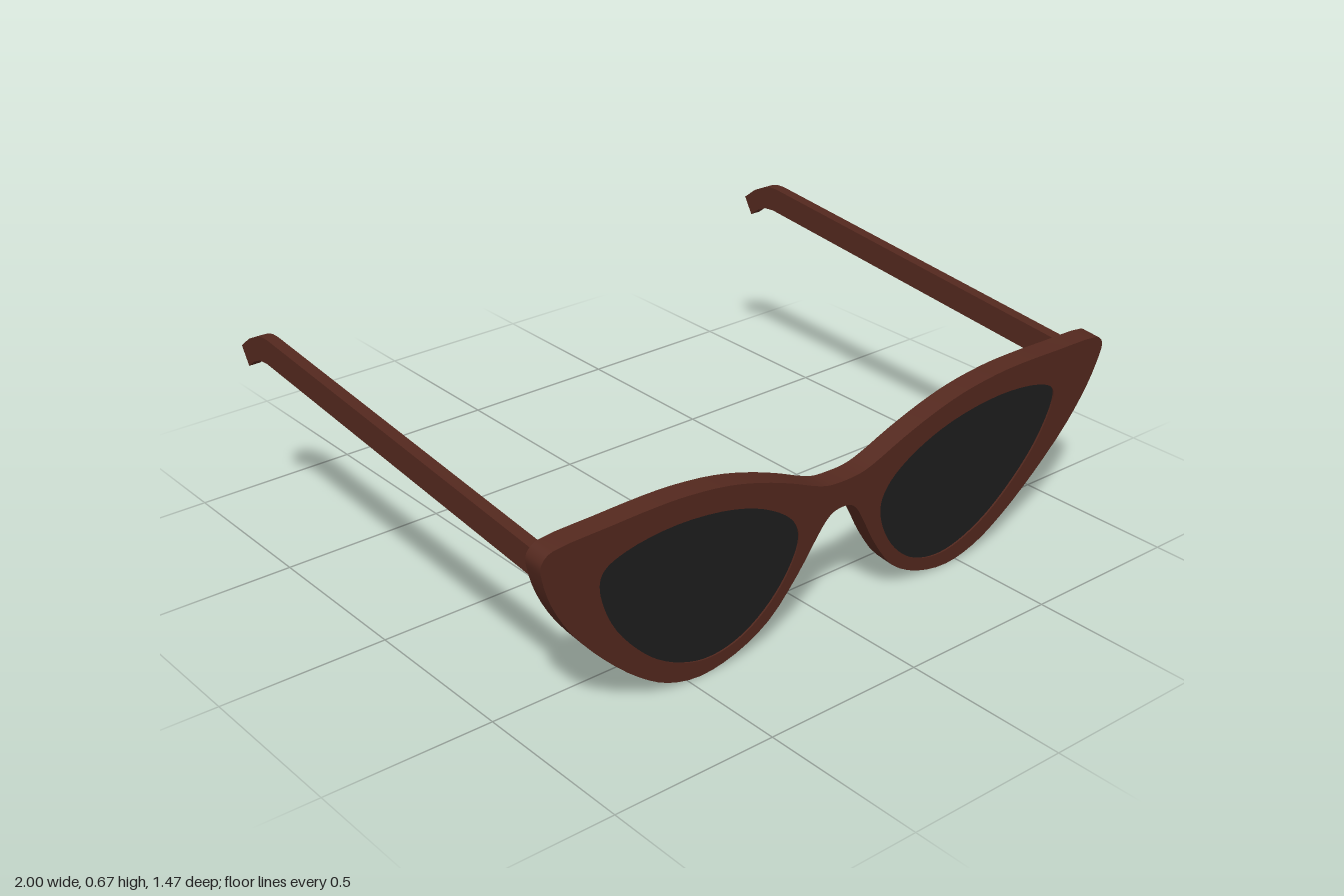
import * as THREE from 'three';
import { toCreasedNormals } from 'three/addons/utils/BufferGeometryUtils.js';

const THICK = 0.06;
const LENS_CENTRE = [0.47, 0.3];

// Smooth closed loop through a few points
function loop(points, count) {
  const curve = new THREE.CatmullRomCurve3(points.map(([x, y]) => new THREE.Vector3(x, y, 0)), true, 'centripetal');
  return curve.getPoints(count).slice(0, -1).map((p) => new THREE.Vector2(p.x, p.y));
}

// Half of the cat-eye outline, from the top of the bridge round to its underside
const half = [
  [0.05, 0.449], [0.1, 0.463], [0.2, 0.507], [0.31, 0.548], [0.42, 0.578], [0.55, 0.596], [0.65, 0.6],
  [0.8, 0.597], [0.965, 0.59], [0.988, 0.578], [1.0, 0.556], [0.995, 0.52], [0.965, 0.435], [0.9, 0.325],
  [0.79, 0.198], [0.67, 0.09], [0.57, 0.028], [0.46, 0.002], [0.34, 0.024], [0.23, 0.086], [0.14, 0.2],
  [0.087, 0.29], [0.052, 0.342], [0.024, 0.36],
];
const outline = [...half, ...half.map(([x, y]) => [-x, y]).reverse()];

const lensEdge = loop([
  [0.818, 0.43], [0.805, 0.473], [0.74, 0.504], [0.58, 0.522], [0.39, 0.497], [0.257, 0.444], [0.176, 0.38],
  [0.15, 0.316], [0.17, 0.235], [0.23, 0.144], [0.31, 0.08], [0.39, 0.053], [0.47, 0.055], [0.58, 0.1],
  [0.685, 0.187], [0.775, 0.305],
], 64);

// Lens edge for one side, scaled about the lens centre, always counter-clockwise
function edgeFor(side, scale = 1) {
  const points = lensEdge.map((p) => new THREE.Vector2(
    side * (LENS_CENTRE[0] + (p.x - LENS_CENTRE[0]) * scale),
    LENS_CENTRE[1] + (p.y - LENS_CENTRE[1]) * scale));
  return side > 0 ? points : points.reverse();
}

function frameGeometry() {
  const shape = new THREE.Shape(loop(outline, 144));
  const edges = [edgeFor(1), edgeFor(-1)];
  edges.forEach((e) => shape.holes.push(new THREE.Path(e)));
  const geo = new THREE.ExtrudeGeometry(shape, { depth: THICK, bevelEnabled: false, steps: 1 });
  geo.translate(0, 0, -THICK);

  // Flare the lens openings towards the back
  const rim = edges.flat();
  const pos = geo.attributes.position;
  for (let i = 0; i < pos.count; i++) {
    const x = pos.getX(i), y = pos.getY(i);
    if (pos.getZ(i) > -THICK / 2) continue;
    if (!rim.some((p) => Math.abs(p.x - x) + Math.abs(p.y - y) < 1e-4)) continue;
    const cx = Math.sign(x) * LENS_CENTRE[0];
    pos.setXY(i, cx + (x - cx) * 1.06, LENS_CENTRE[1] + (y - LENS_CENTRE[1]) * 1.06);
  }
  return toCreasedNormals(geo, 0.6);
}

// Side profile of a temple arm as (distance back, height)
function templeGeometry(width) {
  const shape = new THREE.Shape([
    [0.055, 0.465], [0.055, 0.544], [1.323, 0.54], [1.352, 0.536], [1.379, 0.525], [1.422, 0.499], [1.465, 0.458],
    [1.428, 0.409], [1.398, 0.437], [1.365, 0.456], [1.328, 0.463],
  ].map(([z, y]) => new THREE.Vector2(z, y)));
  const geo = new THREE.ExtrudeGeometry(shape, { depth: width, bevelEnabled: false });
  geo.translate(0, 0, -width / 2);
  geo.rotateY(Math.PI / 2); // profile now runs towards -z
  return toCreasedNormals(geo, 0.6);
}

export function createModel() {
  const brown = new THREE.MeshStandardMaterial({ color: 0x53281e });
  brown.name = 'brown plastic';
  const dark = new THREE.MeshStandardMaterial({ color: 0x1d1d1d });
  dark.name = 'dark lens';

  const model = new THREE.Group();
  model.name = 'sunglasses';
  const tilted = new THREE.Group();
  tilted.name = 'tiltedGlasses';
  tilted.rotation.x = 0.1;
  tilted.position.z = 0.674;
  model.add(tilted);

  const add = (name, geo, material, x = 0, y = 0, z = 0) => {
    const mesh = new THREE.Mesh(geo, material);
    mesh.name = name;
    mesh.position.set(x, y, z);
    tilted.add(mesh);
  };

  add('frontFrame', frameGeometry(), brown);

  for (const [side, label] of [[1, 'left'], [-1, 'right']]) {
    const lens = new THREE.ExtrudeGeometry(new THREE.Shape(edgeFor(side, 1.013)), { depth: 0.008, bevelEnabled: false });
    add(label + 'Lens', lens, dark, 0, 0, -0.014);
    add(label + 'Temple', templeGeometry(0.035), brown, side * 0.942);
    // Hinge block on the inner side of the temple
    add(label + 'Hinge', new THREE.BoxGeometry(0.045, 0.06, 0.045), brown, side * 0.905, 0.504, -0.08);
  }
  return model;
}
